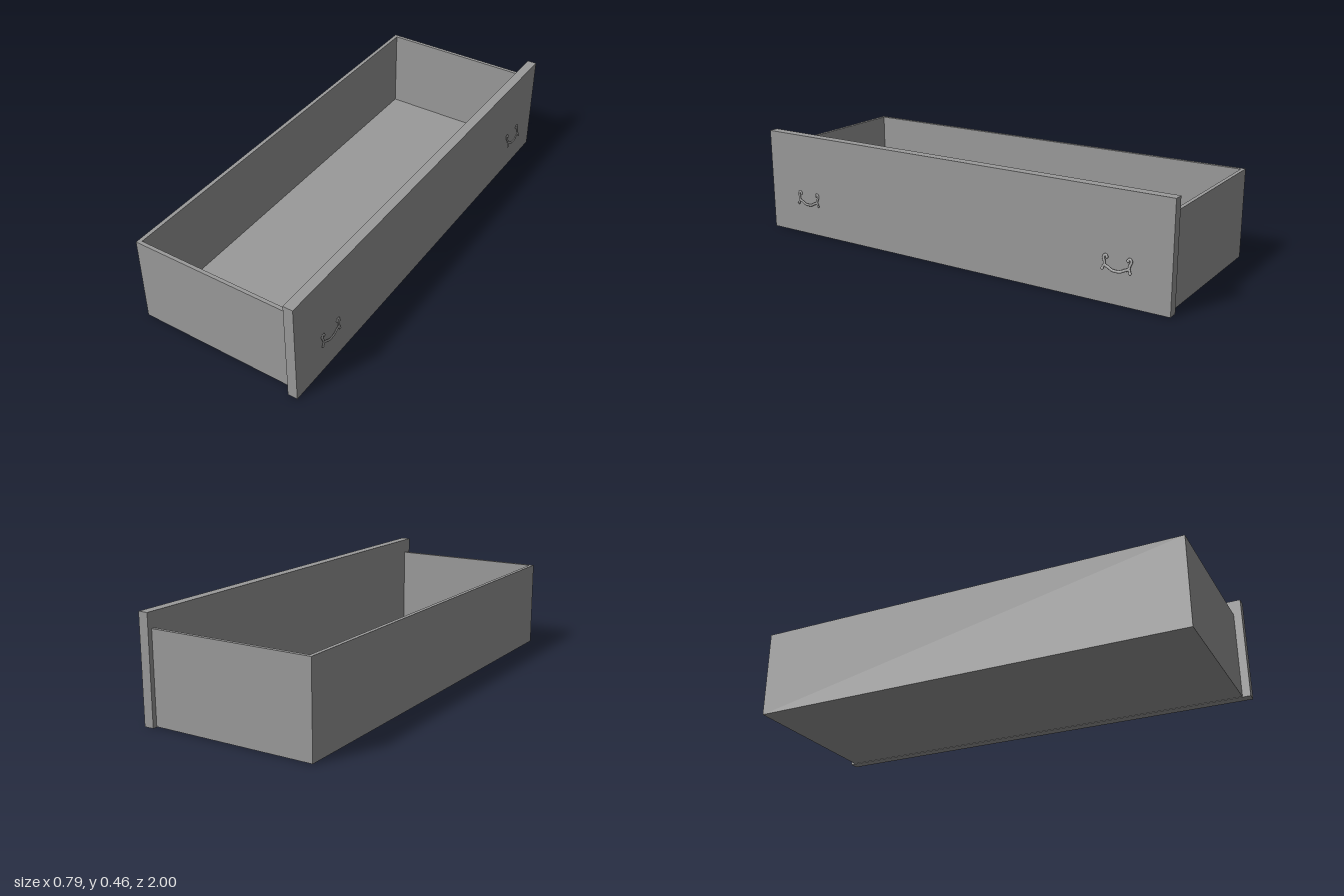
import * as THREE from 'three';

const grey = new THREE.MeshStandardMaterial({ color: 0x9a9a9a });

function panel(name, x0, x1, y0, y1, z0, z1) {
  const mesh = new THREE.Mesh(new THREE.BoxGeometry(x1 - x0, y1 - y0, z1 - z0), grey);
  mesh.position.set((x0 + x1) / 2, (y0 + y1) / 2, (z0 + z1) / 2);
  mesh.name = name;
  return mesh;
}

// Rod through [z, y] points, flattened in depth
function rod(name, points, radius) {
  const curve = new THREE.CatmullRomCurve3(points.map(([z, y]) => new THREE.Vector3(0, y, z)));
  const geometry = new THREE.TubeGeometry(curve, points.length * 5, radius, 8);
  const mesh = new THREE.Mesh(geometry, grey);
  mesh.scale.x = 0.5;
  mesh.name = name;
  return mesh;
}

function knob(name, z, y, radius) {
  const mesh = new THREE.Mesh(new THREE.SphereGeometry(radius, 10, 8), grey);
  mesh.position.set(0, y, z);
  mesh.scale.x = 0.5;
  mesh.name = name;
  return mesh;
}

// Drop pull with curled ends; origin at its top, hanging at a slant
function makeHandle(name, z, tilt) {
  const handle = new THREE.Group();
  handle.name = name;
  const half = [[0.044, -0.012], [0.047, -0.006], [0.054, -0.006], [0.058, -0.015],
    [0.053, -0.029], [0.05, -0.042], [0.034, -0.05], [0.018, -0.058]];
  const mirrored = half.map(([u, v]) => [-u, v]).reverse();
  handle.add(rod('handleBail', [...half, [0, -0.06], ...mirrored], 0.0058));
  for (const s of [-1, 1]) {
    handle.add(knob('curlTip', s * 0.044, -0.012, 0.0065));
    handle.add(rod('handleFoot', [[s * 0.05, -0.041], [s * 0.055, -0.049], [s * 0.058, -0.058]], 0.0055));
    handle.add(knob('footTip', s * 0.058, -0.058, 0.0065));
  }
  handle.position.set(0.378, 0.2, z);
  handle.rotation.z = tilt;
  return handle;
}

export function createModel() {
  const model = new THREE.Group();
  model.name = 'drawer';

  // Face board and open-topped box
  model.add(
    panel('faceBoard', 0.331, 0.374, 0, 0.458, -1, 1),
    panel('bottom', -0.379, 0.331, 0.002, 0.016, -0.964, 0.949),
    panel('backWall', -0.396, -0.379, 0.002, 0.392, -0.98, 0.965),
    panel('leftWall', -0.379, 0.331, 0.002, 0.392, -0.98, -0.964),
    panel('rightWall', -0.379, 0.331, 0.002, 0.392, 0.949, 0.965),
  );

  // Pulls, hanging at slightly different angles
  model.add(makeHandle('nearHandle', 0.777, 0.07), makeHandle('farHandle', -0.78, 0.21));
  return model;
}
